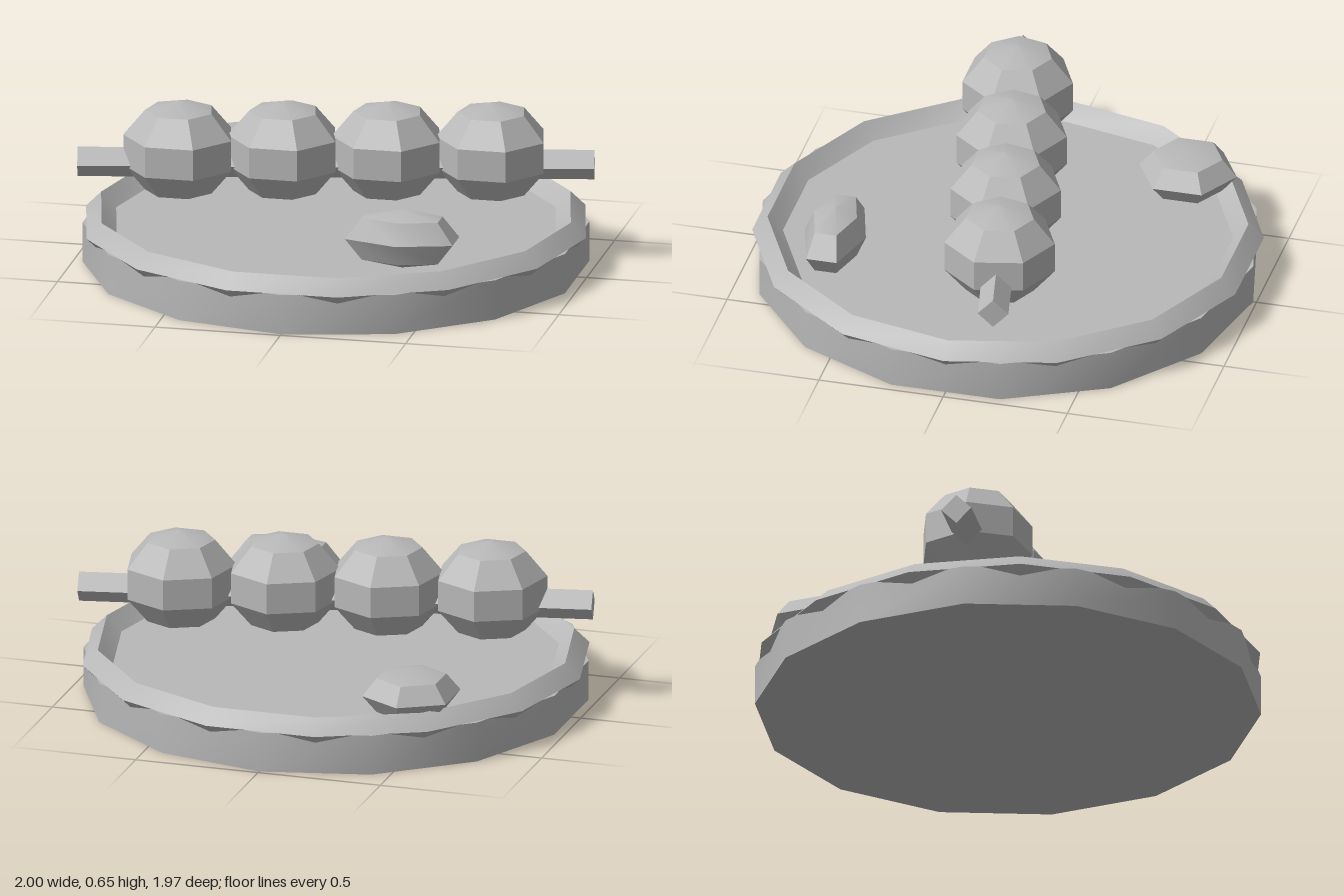
import * as THREE from 'three';
import { toCreasedNormals } from 'three/addons/utils/BufferGeometryUtils.js';

export function createModel() {
  const model = new THREE.Group();
  model.name = 'skewerOnPlate';

  const grey = new THREE.MeshStandardMaterial({ color: 0xb8b8b8 });
  grey.name = 'plain grey';

  // Soft across shallow edges, sharp across steep ones
  const add = (name, geometry, x, y, z) => {
    const mesh = new THREE.Mesh(toCreasedNormals(geometry, Math.PI / 6), grey);
    mesh.name = name;
    mesh.position.set(x, y, z);
    model.add(mesh);
    return mesh;
  };

  // Low-poly ellipsoid with a corner facing the back
  const blob = (sides, rows, rx, ry, rz) =>
    new THREE.SphereGeometry(1, sides, rows).rotateY(-Math.PI / 2).scale(rx, ry, rz);

  // Plate: solid disc with a diamond-section rim
  add('plateBase', new THREE.CylinderGeometry(0.987, 0.987, 0.16, 14), 0, 0.08, 0);
  add('plateRim', new THREE.TorusGeometry(0.937, 0.06, 4, 14).rotateX(Math.PI / 2), 0, 0.16, 0);

  // Skewer stick, square in section and standing on its edge
  const tilt = Math.atan(0.2);
  const stick = new THREE.CylinderGeometry(0.06, 0.06, 2.014, 4).rotateZ(Math.PI / 2);
  add('stick', stick, 0, 0.4, 0).rotation.y = tilt;

  // Four dumplings along the stick
  for (let i = 0; i < 4; i++) {
    const x = -0.597 + i * 0.398;
    add('dumpling' + (i + 1), blob(7, 5, 0.232, 0.2, 0.232), x, 0.45, -0.004 - 0.2 * x);
  }

  // Garnishes on the plate
  add('frontGarnish', blob(6, 4, 0.248, 0.12, 0.123), 0.395, 0.3, 0.592);
  add('backGarnish', blob(6, 4, 0.196, 0.098, 0.196), -0.498, 0.248, -0.595);

  return model;
}
